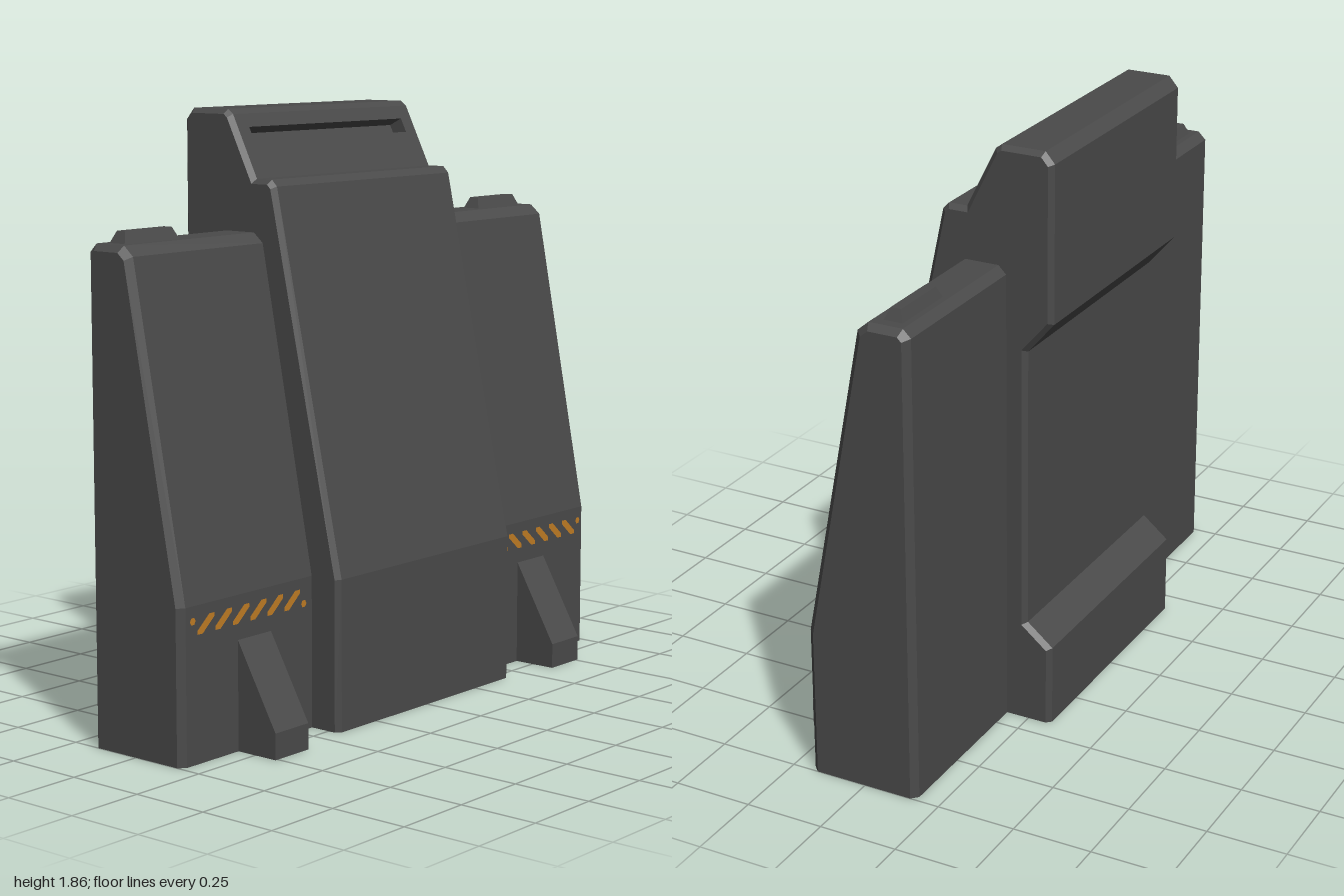
import * as THREE from 'three';

const body = new THREE.MeshStandardMaterial({ color: 0x4a4a4a, side: THREE.DoubleSide });
body.name = 'dark grey';
const paint = new THREE.MeshStandardMaterial({ color: 0xc07c24, side: THREE.DoubleSide });
paint.name = 'hazard orange';

// Move an open [z, y] profile inwards by d with mitred corners, ends staying on the floor
function inset(profile, d) {
  const normals = profile.slice(1).map((p, i) => {
    const dz = p[0] - profile[i][0], dy = p[1] - profile[i][1], l = Math.hypot(dz, dy);
    return [-dy / l, dz / l];
  });
  return profile.map(([z, y], i) => {
    const a = normals[Math.max(i - 1, 0)], b = normals[Math.min(i, normals.length - 1)];
    const k = d / (1 + a[0] * b[0] + a[1] * b[1]);
    return [z + k * (a[0] + b[0]), y + k * (a[1] + b[1])];
  });
}

// Shell along x with an open bottom; sections are [x, inset], skip leaves out one strip of one span
function shell(profile, sections, { capStart = true, capEnd = true, skip = null } = {}) {
  const rings = sections.map(([x, d]) => inset(profile, d).map(([z, y]) => [x, y, z]));
  const pos = [];
  const tri = (...pts) => pts.forEach((p) => pos.push(...p));
  for (let i = 0; i < rings.length - 1; i++) {
    const a = rings[i], b = rings[i + 1];
    for (let j = 0; j < a.length - 1; j++) {
      if (skip && skip[0] === i && skip[1] === j) continue;
      tri(a[j], b[j], b[j + 1]);
      tri(a[j], b[j + 1], a[j + 1]);
    }
  }
  const cap = (ring, flip) => {
    const outline = ring.map((p) => new THREE.Vector2(p[2], p[1]));
    for (const [a, b, c] of THREE.ShapeUtils.triangulateShape(outline, [])) {
      if (flip) tri(ring[a], ring[c], ring[b]);
      else tri(ring[a], ring[b], ring[c]);
    }
  };
  if (capStart) cap(rings[0], false);
  if (capEnd) cap(rings[rings.length - 1], true);
  const g = new THREE.BufferGeometry();
  g.setAttribute('position', new THREE.Float32BufferAttribute(pos, 3));
  g.computeVertexNormals();
  return g;
}

function add(parent, name, geometry, material = body) {
  const m = new THREE.Mesh(geometry, material);
  m.name = name;
  parent.add(m);
  return m;
}

const polygon = (pts) => pts.map(([x, y]) => new THREE.Vector2(x, y));

// Central column with the slotted sloping panel near its top
function createColumn() {
  const column = new THREE.Group();
  column.name = 'centralColumn';
  const profile = [
    [0.29, 0], [0.29, 0.47], [0.04, 1.63], [0.02, 1.65], [-0.04, 1.65], [-0.135, 1.84], [-0.155, 1.855],
    [-0.295, 1.855], [-0.325, 1.82], [-0.325, 1.33], [-0.24, 1.23], [-0.24, 0.33], [-0.325, 0.26], [-0.325, 0],
  ];
  const w = 0.43, b = 0.015;
  add(column, 'columnShell', shell(profile, [[-w, b], [b - w, 0], [w - b, 0], [w, b]], { skip: [1, 4] }));

  const length = Math.hypot(0.095, 0.19), depth = 0.05, e = w - b, s = 0.365, lo = 0.121, hi = 0.168;
  const face = new THREE.Shape(polygon([[-e, 0], [e, 0], [e, length], [-e, length]]));
  face.holes.push(new THREE.Path(polygon([[-s, lo], [-s, hi], [s, hi], [s, lo]])));
  const panel = new THREE.Group();
  panel.name = 'slottedPanel';
  panel.position.set(0, 1.65, -0.04);
  panel.rotation.x = -Math.atan2(0.095, 0.19);
  add(panel, 'panelFace', new THREE.ExtrudeGeometry(face, { depth, bevelEnabled: false }).translate(0, 0, -depth));
  add(panel, 'slotFloor', new THREE.PlaneGeometry(2 * s, hi - lo).translate(0, (hi + lo) / 2, -depth));
  column.add(panel);
  return column;
}

// Side wing on +x with its top cap, foot and hazard stripes
function createWing(name) {
  const wing = new THREE.Group();
  wing.name = name;
  const profile = [
    [0.185, 0], [0.185, 0.47], [-0.005, 1.46], [-0.04, 1.49], [-0.15, 1.49], [-0.175, 1.465], [-0.175, 0],
  ];
  add(wing, 'wingShell', shell(profile, [[0.42, 0], [0.98, 0], [1, 0.02]], { capStart: false }));

  const foot = [[0.33, 0], [0.33, 0.08], [0.185, 0.335], [0.185, 0]];
  add(wing, 'foot', shell(foot, [[0.615, 0], [0.76, 0]]));

  // Tapered block on top
  const block = new THREE.BoxGeometry(0.23, 0.04, 0.065).toNonIndexed();
  const p = block.attributes.position;
  for (let i = 0; i < p.count; i++) {
    if (p.getY(i) > 0) {
      p.setX(i, p.getX(i) * 0.84);
      p.setZ(i, p.getZ(i) * 0.5);
    }
  }
  block.computeVertexNormals();
  add(wing, 'topBlock', block).position.set(0.835, 1.505, -0.1);

  // Slanted stripes with a small remnant at each end of the row
  const stripe = new THREE.ShapeGeometry(new THREE.Shape(polygon([
    [0.035, -0.027], [0.035, -0.015], [-0.014, 0.027], [-0.035, 0.027], [-0.035, 0.015], [0.014, -0.027],
  ])));
  const stripes = new THREE.Group();
  stripes.name = 'hazardStripes';
  for (let i = 0; i < 6; i++) add(stripes, 'stripe', stripe, paint).position.set(0.523 + i * 0.075, 0.411, 0.188);
  for (const [x, y] of [[0.47, 0.392], [0.953, 0.426]]) {
    add(stripes, 'stripeEnd', new THREE.CircleGeometry(0.012, 6), paint).position.set(x, y, 0.188);
  }
  wing.add(stripes);
  return wing;
}

export function createModel() {
  const model = new THREE.Group();
  model.name = 'barricade';
  const right = createWing('rightWing');
  right.scale.x = -1;
  model.add(createColumn(), createWing('leftWing'), right);
  return model;
}
